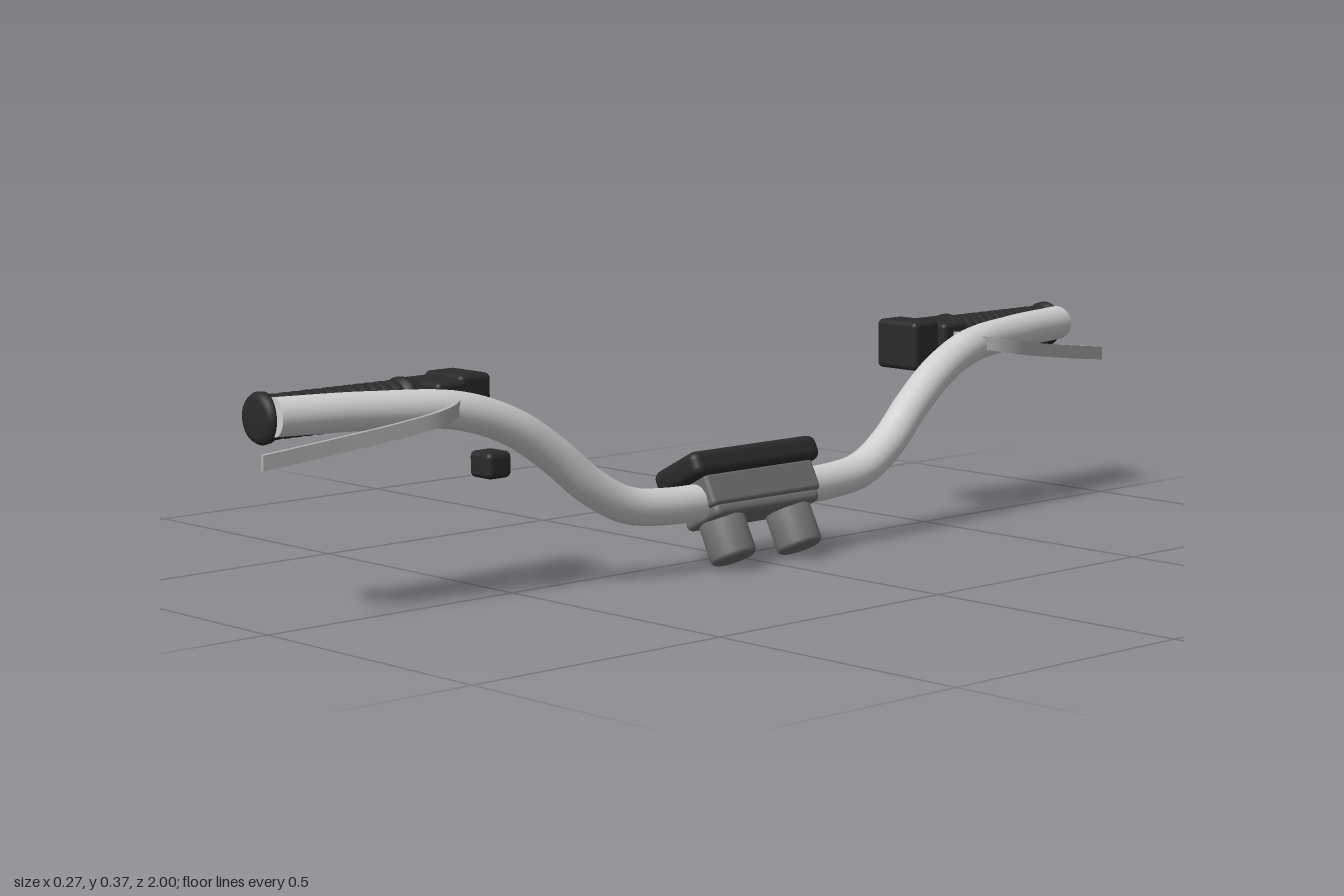
import * as THREE from 'three';
import { RoundedBoxGeometry } from 'three/addons/geometries/RoundedBoxGeometry.js';

const V3 = (x, y, z) => new THREE.Vector3(x, y, z);
const V2 = (x, y) => new THREE.Vector2(x, y);

function material(name, color) {
  const m = new THREE.MeshStandardMaterial({ color });
  m.name = name;
  return m;
}

function addMesh(parent, name, geometry, mat, x = 0, y = 0, z = 0) {
  const m = new THREE.Mesh(geometry, mat);
  m.name = name;
  m.position.set(x, y, z);
  parent.add(m);
  return m;
}

// Flat strip that follows a curve, standing upright
function stripGeometry(curve, thickness, height) {
  const g = new THREE.BoxGeometry(thickness, height, 1, 1, 1, 28);
  const p = g.attributes.position;
  const up = V3(0, 1, 0);
  for (let i = 0; i < p.count; i++) {
    const t = THREE.MathUtils.clamp(p.getZ(i) + 0.5, 0, 1);
    const side = up.clone().cross(curve.getTangent(t)).normalize();
    const c = curve.getPoint(t).addScaledVector(side, p.getX(i));
    p.setXYZ(i, c.x, c.y + p.getY(i), c.z);
  }
  g.computeVertexNormals();
  return g;
}

// Ribbed sleeve with a flange at each end, turned around y
function gripGeometry() {
  const pts = [V2(0, -0.15), V2(0.036, -0.15), V2(0.041, -0.147), V2(0.041, -0.138), V2(0.034, -0.135)];
  for (let i = 0; i < 12; i++) {
    const y = -0.13 + i * 0.0213;
    pts.push(V2(0.033, y), V2(0.037, y + 0.004), V2(0.037, y + 0.013), V2(0.033, y + 0.017));
  }
  pts.push(V2(0.035, 0.128), V2(0.042, 0.131), V2(0.043, 0.14), V2(0.039, 0.147), V2(0.03, 0.15), V2(0, 0.151));
  return new THREE.LatheGeometry(pts, 32);
}

export function createModel() {
  const model = new THREE.Group();
  model.name = 'handlebar';
  const silver = material('silver bar', 0xcfcfcf);
  const steel = material('steel lever', 0xb0b0b0);
  const grey = material('grey clamp', 0x6c6c6c);
  const black = material('black rubber', 0x2a2a2a);

  // Swept bar, one half mirrored into the other
  const half = [
    V3(-0.06, 0.335, 0.935), V3(-0.03, 0.332, 0.77), V3(0.003, 0.32, 0.61), V3(0.02, 0.284, 0.51),
    V3(0.03, 0.23, 0.43), V3(0.039, 0.172, 0.36), V3(0.046, 0.132, 0.285), V3(0.05, 0.12, 0.2),
  ];
  const path = [...half, V3(0.051, 0.12, 0), ...half.map((p) => V3(p.x, p.y, -p.z)).reverse()];
  const barCurve = new THREE.CatmullRomCurve3(path);
  addMesh(model, 'bar', new THREE.TubeGeometry(barCurve, 120, 0.032, 24), silver);
  for (const t of [0, 1]) {
    const end = barCurve.getPoint(t);
    const out = barCurve.getTangent(t).multiplyScalar(t ? 1 : -1);
    const cap = addMesh(model, 'barEnd', new THREE.CircleGeometry(0.032, 24), silver, end.x, end.y, end.z);
    cap.lookAt(end.clone().add(out));
  }

  // Grip, switch housing and brake lever on each side
  for (const s of [1, -1]) {
    const side = new THREE.Group();
    side.name = s > 0 ? 'leftControls' : 'rightControls';
    model.add(side);

    const grip = addMesh(side, 'grip', gripGeometry(), black, -0.093, 0.33, s * 0.798);
    grip.rotation.x = s * Math.PI / 2;

    const collar = addMesh(side, 'collar', new THREE.CylinderGeometry(0.041, 0.041, 0.068, 28), black, -0.093, 0.328, s * 0.606);
    collar.rotation.x = Math.PI / 2;
    addMesh(side, 'leverMount', new RoundedBoxGeometry(0.06, 0.05, 0.062, 3, 0.01), black, -0.05, 0.34, s * 0.604);
    addMesh(side, 'switchHousing', new RoundedBoxGeometry(0.1, 0.091, 0.066, 3, 0.01), black, -0.085, 0.325, s * 0.542);

    const pts = [
      V3(-0.025, 0.336, 0.6), V3(0.005, 0.333, 0.612), V3(0.036, 0.325, 0.65), V3(0.045, 0.318, 0.69),
      V3(0.038, 0.308, 0.75), V3(0.016, 0.291, 0.87), V3(-0.005, 0.275, 1),
    ].map((p) => V3(p.x, p.y, s * p.z));
    if (s < 0) pts.reverse();
    addMesh(side, 'brakeLever', stripGeometry(new THREE.CatmullRomCurve3(pts), 0.009, 0.025), steel);
  }

  // Small separate button on the left only
  addMesh(model, 'button', new RoundedBoxGeometry(0.055, 0.045, 0.05, 3, 0.01), black, -0.04, 0.217, 0.51);

  // Tilted centre clamp with display and two mounting posts
  const centre = new THREE.Group();
  centre.name = 'centreClamp';
  centre.position.set(0.047, 0.115, 0);
  centre.rotation.z = THREE.MathUtils.degToRad(27.5);
  model.add(centre);
  addMesh(centre, 'display', new RoundedBoxGeometry(0.12, 0.046, 0.3, 4, 0.016), black, 0, 0.057, 0);
  addMesh(centre, 'clampBlock', new RoundedBoxGeometry(0.1, 0.058, 0.26, 3, 0.008), grey, 0, 0.01, 0);
  addMesh(centre, 'clampBase', new RoundedBoxGeometry(0.092, 0.024, 0.25, 4, 0.011), grey, 0, -0.026, 0);
  const post = [V2(0, -0.108), V2(0.034, -0.108), V2(0.039, -0.105), V2(0.041, -0.1), V2(0.041, -0.02), V2(0, -0.02)];
  for (const s of [1, -1]) {
    addMesh(centre, 'mountingPost', new THREE.LatheGeometry(post, 32), grey, 0, 0, s * 0.08);
  }
  return model;
}
